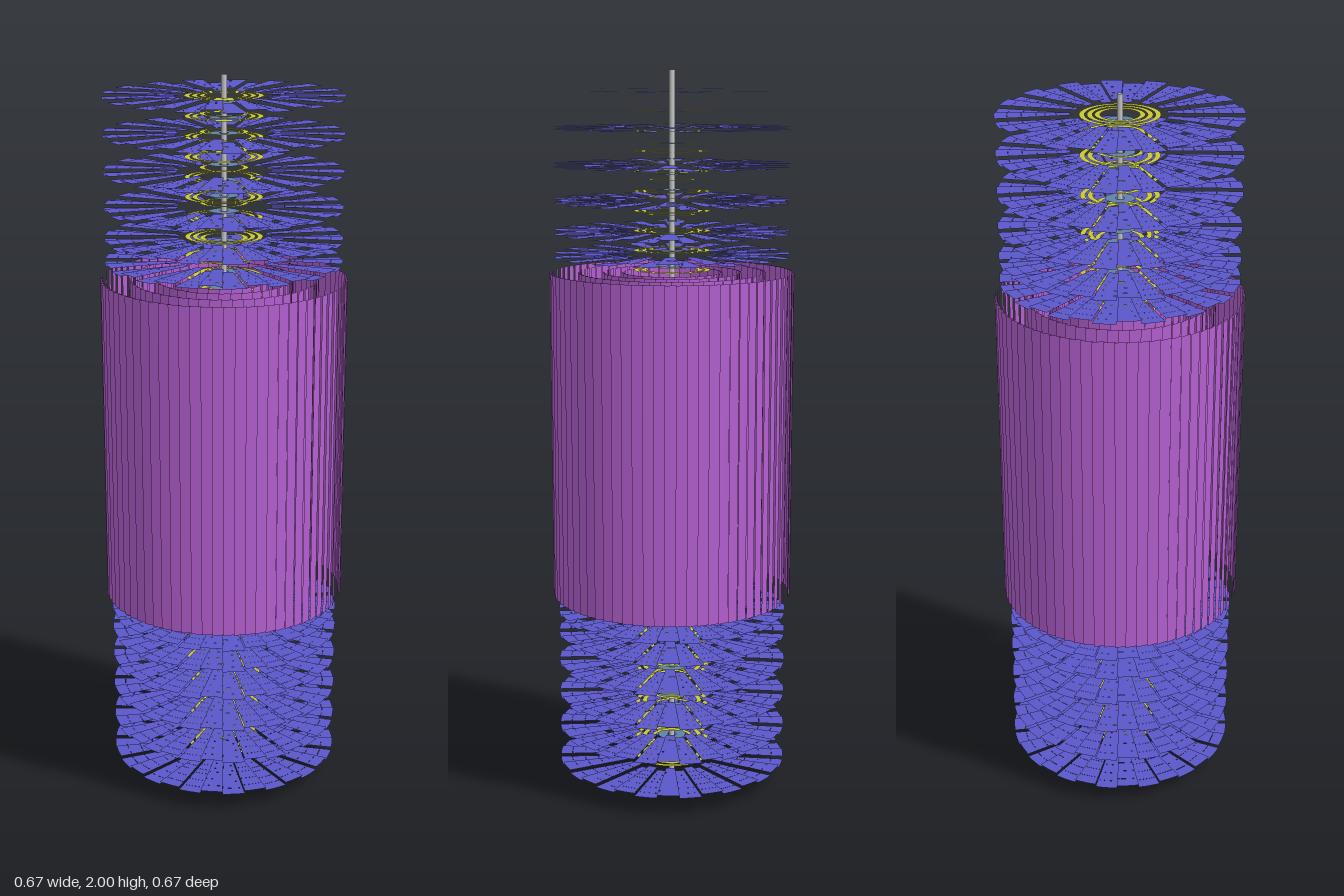
import * as THREE from 'three';
import { mergeGeometries } from 'three/addons/utils/BufferGeometryUtils.js';

const mat = (color) => new THREE.MeshStandardMaterial({ color, side: THREE.DoubleSide });
const violet = mat(0xb45fd0), indigo = mat(0x5b57c9);
const yellow = mat(0xc8c832), steel = mat(0x5f82a8), grey = mat(0xcccccc);

function add(parent, name, geometry, material, y = 0) {
  const mesh = new THREE.Mesh(geometry, material);
  mesh.name = name;
  mesh.position.y = y;
  parent.add(mesh);
}

// flat horizontal ring, or a sector of one
function flatRing(inner, outer, segments = 48, start = 0, length = Math.PI * 2) {
  return new THREE.RingGeometry(inner, outer, segments, 1, start, length).rotateX(-Math.PI / 2);
}

// barrel of flat upright staves, each tilted like a louvre
function staveBarrel(radius, count, length) {
  const width = 0.0325, tilt = 0.2, parts = [];
  for (let i = 0; i < count; i++) {
    const a = (i / count) * Math.PI * 2;
    parts.push(new THREE.PlaneGeometry(width, length)
      .rotateY(a + tilt)
      .translate(Math.sin(a) * radius, 0, Math.cos(a) * radius));
  }
  return mergeGeometries(parts);
}

// disc of 32 petals at alternating heights, each split into six bands
function petalDisc() {
  const edges = [0.128, 0.163, 0.192, 0.214, 0.252, 0.289, 0.322];
  const step = Math.PI / 16, parts = [];
  for (let i = 0; i < 32; i++) {
    for (let b = 0; b < 6; b++) {
      parts.push(flatRing(edges[b], edges[b + 1] - 0.0005, 6, (i - 0.5) * step, step)
        .translate(0, i % 2 ? 0.004 : -0.004, 0));
    }
  }
  return mergeGeometries(parts);
}

// evenly spaced positions from a to b
const spread = (a, b, n) => Array.from({ length: n }, (_, i) => a + ((b - a) * i) / (n - 1));

export function createModel() {
  const model = new THREE.Group();
  model.name = 'layeredBarrelAndDiscs';

  // central pipe, open at both ends
  add(model, 'centralPipe', new THREE.CylinderGeometry(0.008, 0.008, 2, 24, 1, true), grey, 1);

  // four nested stave barrels
  [[0.135, 28], [0.187, 40], [0.254, 56], [0.332, 72]].forEach(([r, n]) =>
    add(model, 'staveBarrel', staveBarrel(r, n, 0.912), violet, 1));

  // short inner barrels
  [[0.033, steel], [0.053, yellow], [0.076, yellow], [0.097, yellow]].forEach(([r, m]) =>
    add(model, 'innerBarrel', new THREE.CylinderGeometry(r, r, 0.25, 32, 1, true), m, 1));

  // petal discs and small rings, mirrored above and below the middle
  const disc = petalDisc();
  const ringSets = [
    ['coreRing', 0.012, 0.040, steel, spread(0.14, 0.93, 20)],
    ['smallRing', 0.0515, 0.065, yellow, spread(0.14, 0.945, 18)],
    ['middleRing', 0.071, 0.085, yellow, spread(0.14, 0.945, 16)],
    ['largeRing', 0.091, 0.105, yellow, spread(0.14, 0.945, 16)],
  ];
  for (const side of [1, -1]) {
    const end = new THREE.Group();
    end.name = side > 0 ? 'upperEnd' : 'lowerEnd';
    end.position.y = 1;
    model.add(end);
    for (const h of [0.504, 0.567, 0.651, 0.747, 0.846, 0.945]) {
      add(end, 'petalDisc', disc, indigo, side * h);
    }
    for (const [name, inner, outer, material, heights] of ringSets) {
      const ring = flatRing(inner, outer);
      for (const h of heights) add(end, name, ring, material, side * h);
    }
  }
  return model;
}
